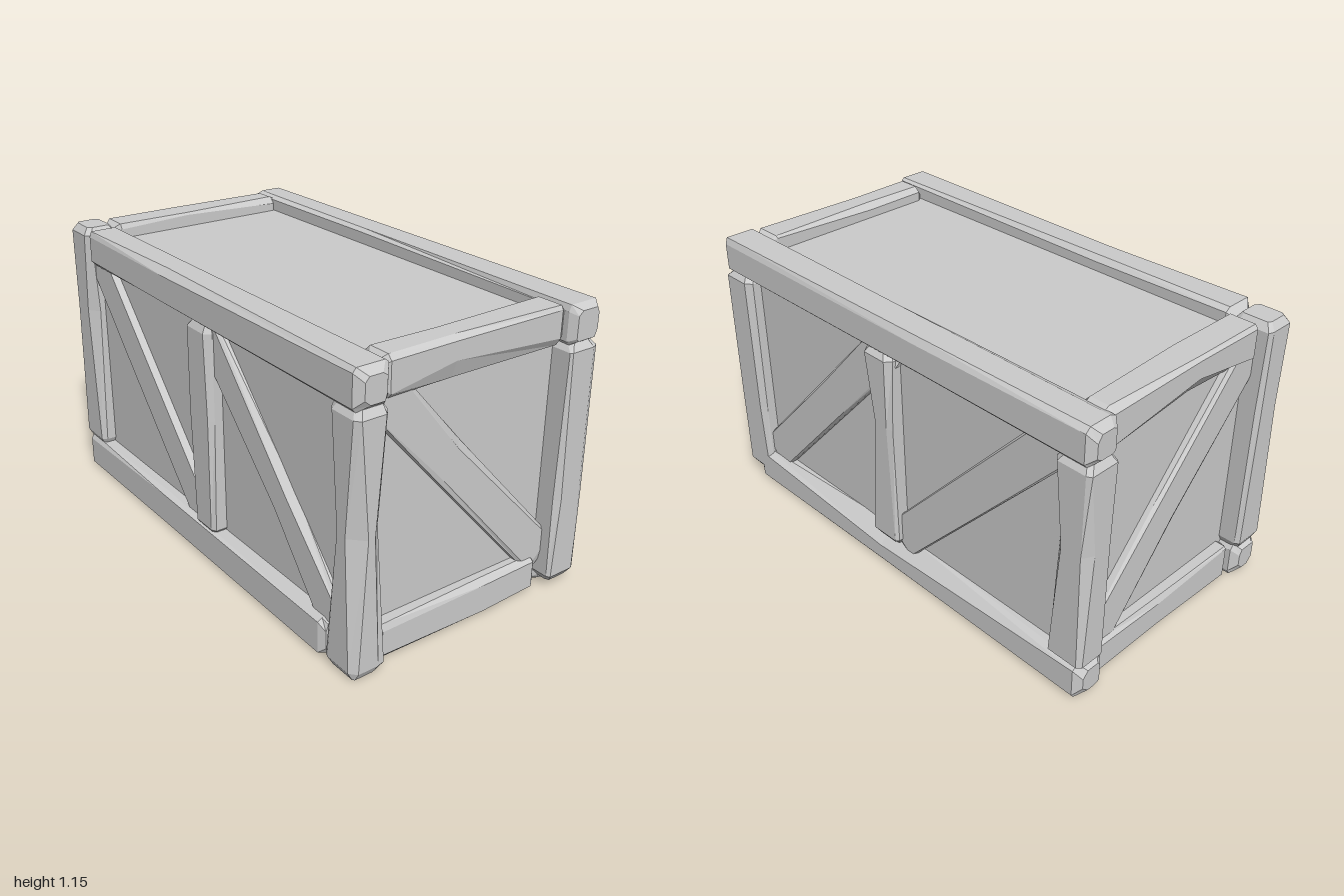
import * as THREE from 'three';

const material = new THREE.MeshStandardMaterial({ color: 0xcccccc, flatShading: true });

// Small seeded generator for the hand-hewn irregularities
let seed = 7;
const rand = () => (seed = (seed * 16807) % 2147483647) / 2147483647;

// Roughly hewn timber along y: octagonal rings whose corner cuts vary along the length
function timber(w, len, d, cut) {
  const tip = Math.min(0.03, len * 0.1);
  const heights = [0, tip, len * (0.35 + rand() * 0.3), len - tip, len];
  const pos = [];
  heights.forEach((y, r) => {
    const end = r === 0 || r === 4;
    const inset = end ? cut * (0.3 + 0.3 * rand()) : 0;
    const hw = w / 2 - inset, hd = d / 2 - inset;
    // corners anticlockwise seen from above
    [[1, 1], [1, -1], [-1, -1], [-1, 1]].forEach(([sx, sz], k) => {
      const chip = r === 2 && rand() < 0.5 ? 1.4 : 0.5;
      const a = cut * (0.15 + chip * rand()), b = cut * (0.15 + chip * rand());
      const alongZ = [sx * hw, y, sz * (hd - b)];
      const alongX = [sx * (hw - a), y, sz * hd];
      if (k % 2) pos.push(...alongZ, ...alongX);
      else pos.push(...alongX, ...alongZ);
    });
  });
  const idx = [];
  for (let r = 0; r < 4; r++) {
    for (let i = 0; i < 8; i++) {
      const a = r * 8 + i, b = r * 8 + (i + 1) % 8;
      idx.push(a, b, b + 8, a, b + 8, a + 8);
    }
  }
  for (let i = 1; i < 7; i++) idx.push(0, i + 1, i, 32, 32 + i, 33 + i);
  const g = new THREE.BufferGeometry();
  g.setAttribute('position', new THREE.Float32BufferAttribute(pos, 3));
  g.setIndex(idx);
  const flat = g.toNonIndexed();
  flat.translate(0, -len / 2, 0);
  flat.computeVertexNormals();
  return flat;
}

export function createModel() {
  seed = 7;
  const crate = new THREE.Group();
  crate.name = 'crate';

  const add = (name, geometry, x, y, z) => {
    const m = new THREE.Mesh(geometry, material);
    m.name = name;
    m.position.set(x, y, z);
    crate.add(m);
    return m;
  };

  // Timber filling the given ranges, running along the chosen axis
  const beam = (name, axis, [x0, x1], [y0, y1], [z0, z1], cut = 0.045) => {
    const w = x1 - x0, h = y1 - y0, d = z1 - z0;
    let g;
    if (axis === 'x') g = timber(h, w, d, cut).rotateZ(-Math.PI / 2);
    else if (axis === 'z') g = timber(w, d, h, cut).rotateX(Math.PI / 2);
    else g = timber(w, h, d, cut);
    add(name, g, (x0 + x1) / 2, (y0 + y1) / 2, (z0 + z1) / 2);
  };

  // Flat boarded body, set back inside the frame
  add('body', new THREE.BoxGeometry(1.82, 1.02, 0.96), 0, 0.58, 0);

  // Long rails
  const front = [0.4, 0.54], back = [-0.54, -0.4];
  const low = [0, 0.15], high = [1.0, 1.15];
  beam('frontTopRail', 'x', [-0.84, 1], high, front);
  beam('backTopRail', 'x', [-1, 1], high, back);
  beam('frontBottomRail', 'x', [-1, 0.83], low, front);
  beam('backBottomRail', 'x', [-1, 0.93], low, back);

  // Short rails
  beam('rightTopRail', 'z', [-0.96, -0.83], high, [-0.42, 0.41]);
  beam('leftTopRail', 'z', [0.83, 0.96], high, [-0.41, 0.41]);
  beam('rightBottomRail', 'z', [-0.96, -0.83], low, [-0.41, 0.41]);
  beam('leftBottomRail', 'z', [0.83, 0.96], low, [-0.38, 0.41]);

  // Corner posts
  beam('frontRightPost', 'y', [-1, -0.84], [0.14, 1.15], front);
  beam('frontLeftPost', 'y', [0.84, 1], [0, 1.01], front);
  beam('backRightPost', 'y', [-1, -0.84], [0.13, 1.01], back);
  beam('backLeftPost', 'y', [0.84, 1], [0.03, 1.01], back);

  // Middle posts on the long faces
  beam('frontMiddlePost', 'y', [-0.035, 0.115], [0.13, 1.01], front);
  beam('backMiddlePost', 'y', [-0.035, 0.115], [0.13, 1.01], back);

  // Diagonal braces, given by upper and lower centre points on the face
  const braceLength = (dx, dy) => Math.hypot(dx, dy) + 0.08;
  for (const side of [1, -1]) {
    for (const [xTop, xLow] of [[-0.81, -0.03], [0.03, 0.82]]) {
      const dx = xTop - xLow, dy = 0.84;
      const g = timber(0.165, braceLength(dx, dy), 0.08, 0.025);
      const m = add('longFaceBrace', g, (xTop + xLow) / 2, 0.58, side * 0.47);
      m.rotation.z = Math.atan2(-dx, dy);
    }
    const dz = 0.755, dy = 0.845;
    const g = timber(0.08, braceLength(dz, dy), 0.165, 0.025);
    const m = add('endBrace', g, side * 0.905, 0.578, -0.008);
    m.rotation.x = Math.atan2(dz, dy);
  }
  return crate;
}
